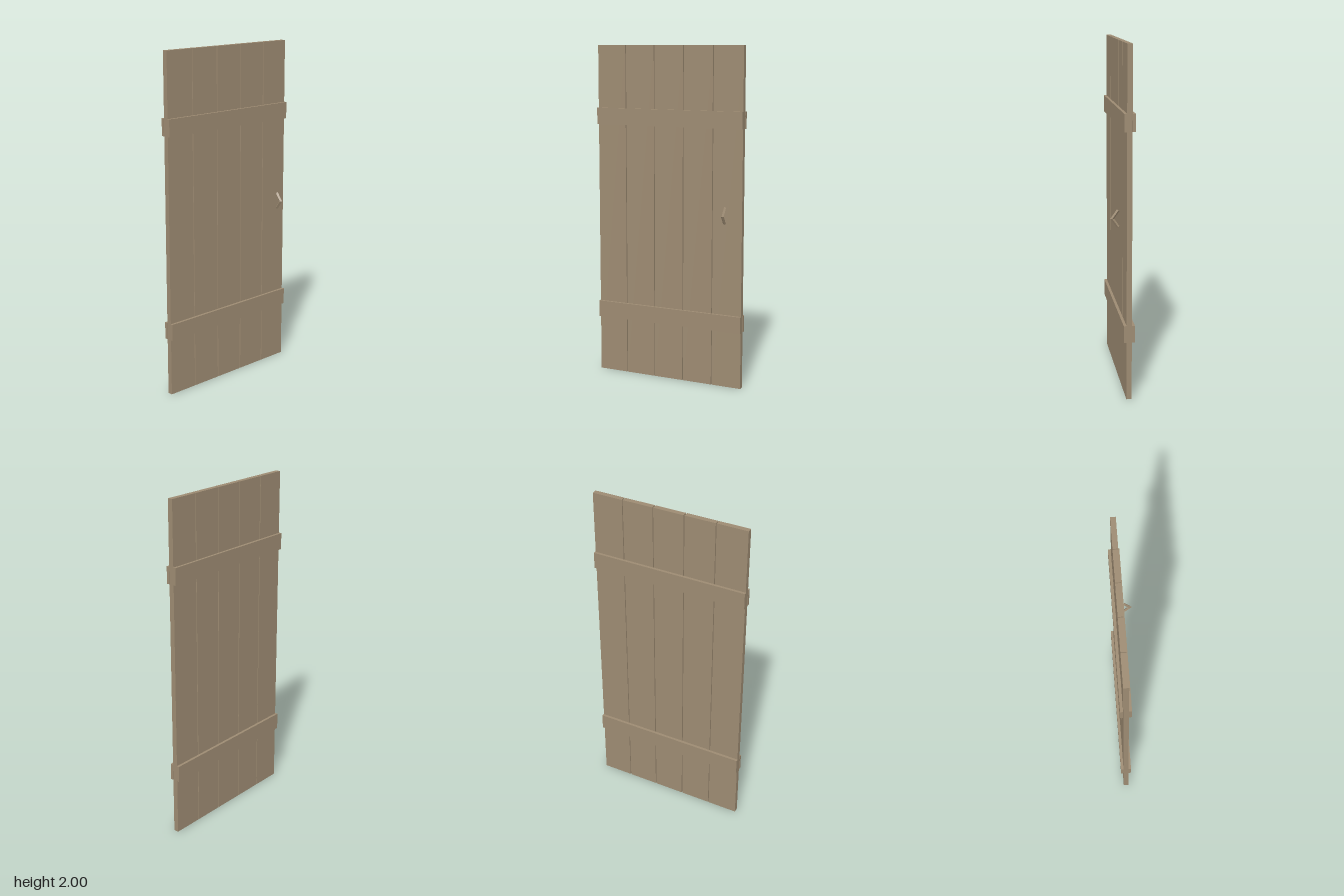
import * as THREE from 'three';

export function createModel() {
  const model = new THREE.Group();
  model.name = 'plankDoor';
  const wood = new THREE.MeshStandardMaterial({ color: 0x9d8b72 });
  wood.name = 'weathered wood';

  const add = (name, geometry, x, y, z) => {
    const mesh = new THREE.Mesh(geometry, wood);
    mesh.name = name;
    mesh.position.set(x, y, z);
    model.add(mesh);
  };

  // Five upright planks with narrow gaps
  const plank = new THREE.BoxGeometry(0.183, 2, 0.03);
  for (let i = -2; i <= 2; i++) add(`plank${i + 3}`, plank, i * 0.188, 1, -0.032);

  // Cross battens, upper and lower, on both faces
  const batten = new THREE.BoxGeometry(0.94, 0.099, 0.016);
  for (const [level, y] of [['lower', 0.388], ['upper', 1.579]]) {
    add(`${level}FrontBatten`, batten, 0, y, -0.009);
    add(`${level}BackBatten`, batten, 0, y, -0.056);
  }

  // Handle: a diamond-section bar bent into a V with a mitred corner
  const bar = new THREE.CylinderGeometry(0.009, 0.009, 1, 4, 2).toNonIndexed();
  const p = bar.attributes.position;
  const c = 0.817, s = 0.576;
  for (let i = 0; i < p.count; i++) {
    const n = p.getZ(i);
    const side = Math.abs(p.getY(i)) < 0.1 ? 0 : Math.sign(p.getY(i));
    if (side === 0) p.setXYZ(i, p.getX(i), 0, 0.0525 + n / c);
    else p.setXYZ(i, p.getX(i), side * (0.0475 + n * s), 0.019 + n * c);
  }
  bar.computeVertexNormals();
  add('handle', bar, 0.374, 1.034, 0);

  return model;
}
